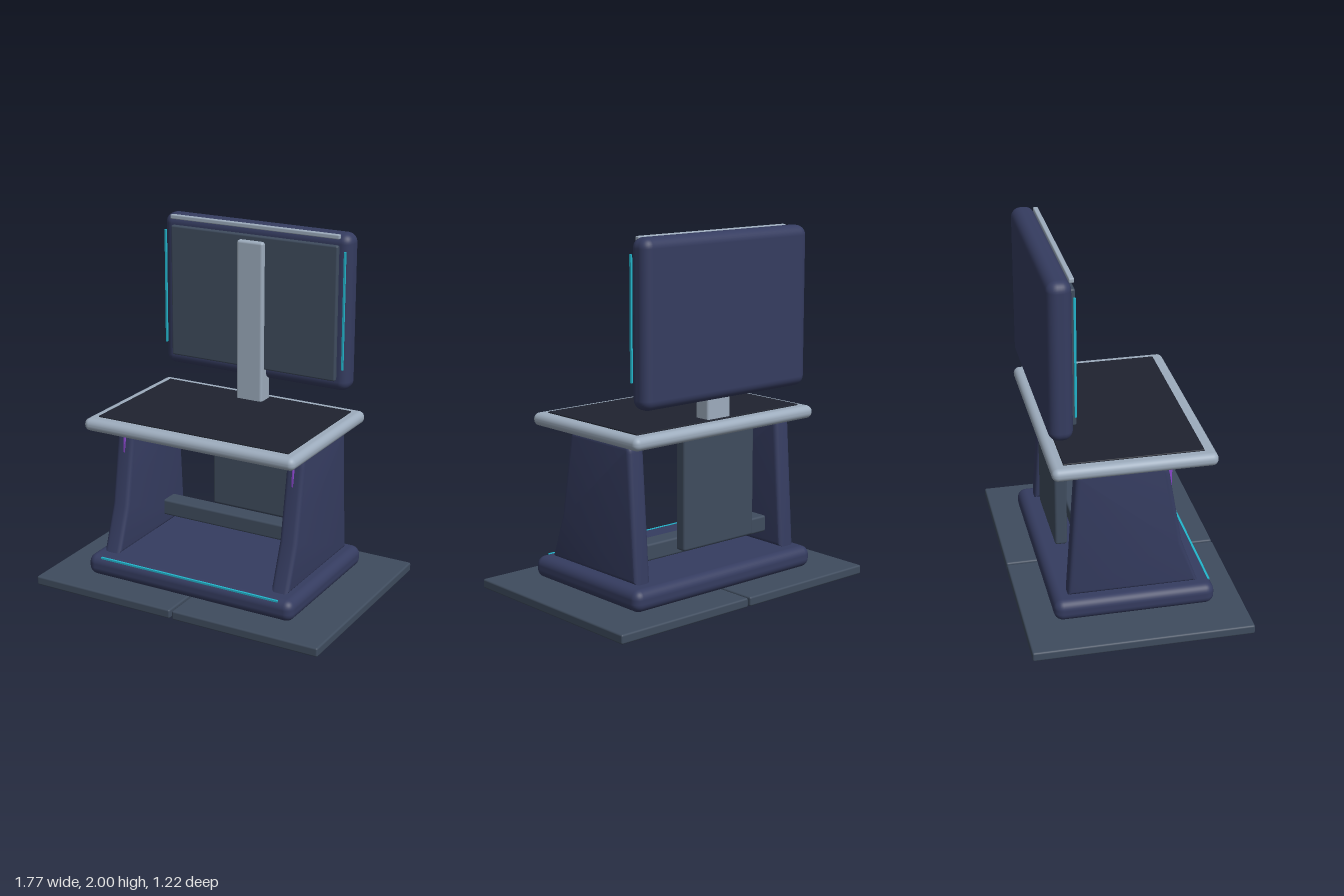
import * as THREE from 'three';
import { RoundedBoxGeometry } from 'three/addons/geometries/RoundedBoxGeometry.js';
import { toCreasedNormals } from 'three/addons/utils/BufferGeometryUtils.js';

const mat = (color) => new THREE.MeshStandardMaterial({ color });

export function createModel() {
  const model = new THREE.Group();
  const navy = mat(0x353c60), slate = mat(0x3f4c5e), silver = mat(0x9dacbd);
  const black = mat(0x1f232f), cyan = mat(0x22b5cc), purple = mat(0x8a46cc);

  const add = (name, geometry, material) => {
    const mesh = new THREE.Mesh(geometry, material);
    mesh.name = name;
    model.add(mesh);
    return mesh;
  };

  // Rounded block given by its extents on each axis
  const block = (name, material, [x0, x1], [y0, y1], [z0, z1], radius, segments = 4) => {
    const size = [x1 - x0, y1 - y0, z1 - z0];
    const geometry = radius
      ? new RoundedBoxGeometry(...size, segments, radius)
      : new THREE.BoxGeometry(...size);
    add(name, geometry, material).position.set((x0 + x1) / 2, (y0 + y1) / 2, (z0 + z1) / 2);
  };

  // Floor tiles, with a narrow gap between them
  block('floorTileRight', slate, [-0.885, -0.007], [0, 0.052], [-0.61, 0.605], 0.01, 2);
  block('floorTileLeft', slate, [0.007, 0.885], [0, 0.052], [-0.61, 0.605], 0.01, 2);

  // Base plinth and its light strip
  block('base', navy, [-0.648, 0.648], [0.055, 0.177], [-0.445, 0.445], 0.05);
  block('baseLight', cyan, [-0.56, 0.56], [0.163, 0.173], [0.422, 0.434]);

  // Side supports: tapered profile in z and y, softly bevelled
  const profile = new THREE.Shape();
  profile.moveTo(-0.36, 0.18);
  profile.lineTo(0.36, 0.18);
  profile.lineTo(0.268, 0.44);
  profile.lineTo(0.2, 0.84);
  profile.quadraticCurveTo(0.19, 0.92, 0.16, 0.92);
  profile.lineTo(-0.28, 0.92);
  profile.quadraticCurveTo(-0.307, 0.92, -0.312, 0.88);
  profile.closePath();
  const bevel = 0.025, width = 0.105;
  const support = new THREE.ExtrudeGeometry(profile, {
    depth: width - 2 * bevel, bevelThickness: bevel, bevelSize: bevel,
    bevelOffset: -bevel, bevelSegments: 4, curveSegments: 6,
  });
  support.translate(0, 0, bevel - width / 2);
  support.rotateY(-Math.PI / 2);
  const supportGeometry = toCreasedNormals(support, 0.6);
  for (const [side, s] of [['Left', 1], ['Right', -1]]) {
    add('support' + side, supportGeometry, navy).position.x = s * 0.533;
    block('supportLight' + side, purple,
      [s * 0.53 - 0.004, s * 0.53 + 0.004], [0.73, 0.883], [0.19, 0.217]);
    block('screenLight' + side, cyan,
      [s * 0.56 - 0.005, s * 0.56 + 0.005], [1.25, 1.91], [-0.31, -0.298]);
  }

  // Cross bar and back panel
  block('crossBar', slate, [-0.49, 0.49], [0.247, 0.341], [-0.235, -0.12], 0.012, 2);
  block('backPanel', slate, [-0.255, 0.255], [0.302, 0.93], [-0.37, -0.3], 0.015, 2);

  // Table top with inset mat
  block('tableTop', silver, [-0.648, 0.648], [0.919, 0.991], [-0.445, 0.445], 0.034);
  block('tableMat', black, [-0.587, 0.587], [0.97, 0.998], [-0.378, 0.378], 0.004, 1);

  // Post carrying the screen
  block('post', silver, [-0.082, 0.082], [0.835, 1.912], [-0.365, -0.264], 0.015, 3);

  // Screen housing, display and top trim
  block('screenHousing', navy, [-0.584, 0.584], [1.115, 2], [-0.446, -0.315], 0.055);
  block('display', slate, [-0.52, 0.52], [1.18, 1.94], [-0.345, -0.292], 0.01, 2);
  block('topTrim', silver, [-0.526, 0.526], [1.975, 2], [-0.325, -0.297], 0.006, 2);

  return model;
}
